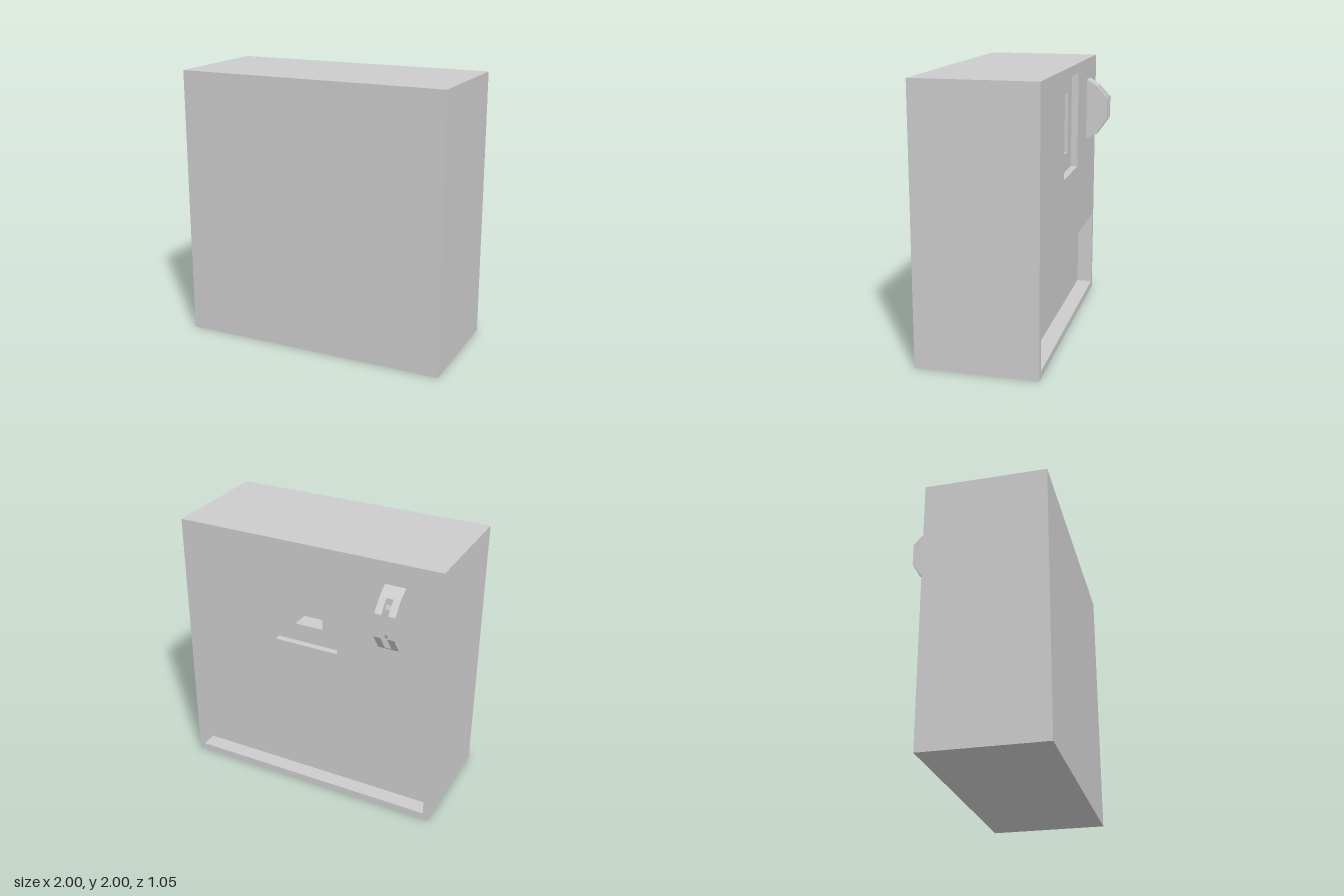
import * as THREE from 'three';

const material = new THREE.MeshStandardMaterial({ color: 0xcccccc, flatShading: true });

const FRONT = 0.525, BACK = -0.36;
const rect = (x0, x1, y0, y1) => [[x0, y0], [x1, y0], [x1, y1], [x0, y1]];
const points = (corners, flip = 1) => corners.map(([x, y]) => new THREE.Vector2(x * flip, y));

function add(group, name, geometry) {
  const mesh = new THREE.Mesh(geometry, material);
  mesh.name = name;
  group.add(mesh);
  return mesh;
}

// Flat panel facing the back, with optional rectangular openings
function backPanel(group, name, corners, z, openings = []) {
  const shape = new THREE.Shape(points(corners, -1));
  for (const o of openings) shape.holes.push(new THREE.Path(points(o, -1)));
  const mesh = add(group, name, new THREE.ShapeGeometry(shape));
  mesh.rotation.y = Math.PI;
  mesh.position.z = z;
}

// Ring of four walls between two depths, facing outward or inward
function walls(group, name, corners, z0, z1, inward = false) {
  const pos = [];
  corners.forEach((a, i) => {
    const b = corners[(i + 1) % 4];
    const q = [[...a, z1], [...a, z0], [...b, z0], [...b, z1]];
    if (inward) q.reverse();
    for (const k of [0, 1, 2, 0, 2, 3]) pos.push(...q[k]);
  });
  const g = new THREE.BufferGeometry();
  g.setAttribute('position', new THREE.Float32BufferAttribute(pos, 3));
  g.computeVertexNormals();
  add(group, name, g);
}

// Extrudes a (z, y) side profile along x from x0 to x1
function sideProfile(group, name, profile, x0, x1) {
  const shape = new THREE.Shape(profile.map(([z, y]) => new THREE.Vector2(-z, y)));
  const g = new THREE.ExtrudeGeometry(shape, { depth: x1 - x0, bevelEnabled: false });
  g.rotateY(Math.PI / 2);
  g.translate(x0, 0, 0);
  add(group, name, g);
}

export function createModel() {
  const model = new THREE.Group();
  model.name = 'wallBox';

  const outline = rect(-1, 1, 0, 2);
  const frame = rect(-0.245, 0.25, 1.215, 1.93);
  const slot = rect(-0.105, 0.11, 1.35, 1.79);
  const tray = rect(-0.957, 0.957, 0.053, 0.663);
  const frameZ = BACK + 0.05, slotZ = frameZ + 0.13, trayZ = BACK + 0.12;

  // Main body
  const body = new THREE.Group();
  body.name = 'body';
  model.add(body);
  walls(body, 'bodySides', outline, BACK, FRONT);
  add(body, 'frontPanel', new THREE.PlaneGeometry(2, 2)).position.set(0, 1, FRONT);
  backPanel(body, 'backPanel', outline, BACK, [frame, tray]);

  // Stepped recess with a deeper slot inside
  const window = new THREE.Group();
  window.name = 'slotRecess';
  model.add(window);
  walls(window, 'frameWalls', frame, BACK, frameZ, true);
  backPanel(window, 'frameFloor', frame, frameZ, [slot]);
  walls(window, 'slotWalls', slot, frameZ, slotZ, true);
  backPanel(window, 'slotFloor', slot, slotZ);

  // Wide lower recess
  const lower = new THREE.Group();
  lower.name = 'trayRecess';
  model.add(lower);
  walls(lower, 'trayWalls', tray, BACK, trayZ, true);
  backPanel(lower, 'trayFloor', tray, trayZ);

  // Faceted knob: two cheeks with a groove between them
  const knob = new THREE.Group();
  knob.name = 'knob';
  model.add(knob);
  const cheek = [[BACK, 1.37], [-0.44, 1.41], [-0.525, 1.53], [-0.525, 1.7], [-0.44, 1.79], [BACK, 1.84]];
  const core = [[BACK, 1.37], [-0.44, 1.41], [-0.445, 1.418], [-0.445, 1.49], [-0.46, 1.52],
    [-0.46, 1.71], [-0.445, 1.74], [-0.445, 1.785], [-0.44, 1.79], [BACK, 1.84]];
  sideProfile(knob, 'rightCheek', cheek, -0.745, -0.695);
  sideProfile(knob, 'grooveFloor', core, -0.695, -0.645);
  sideProfile(knob, 'leftCheek', cheek, -0.645, -0.595);

  return model;
}
